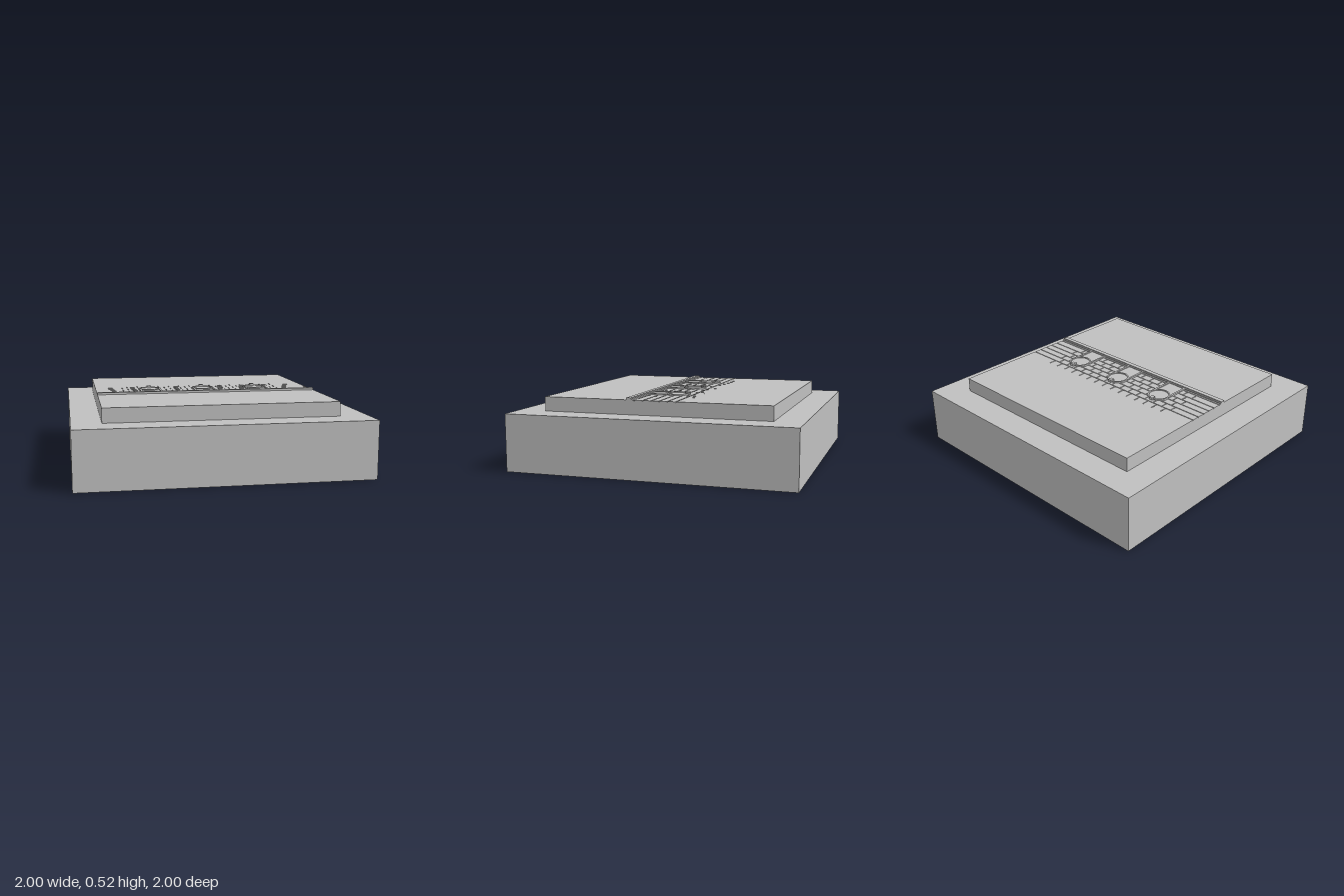
import * as THREE from 'three';

export function createModel() {
  const model = new THREE.Group();
  const stone = new THREE.MeshStandardMaterial({ color: 0xc0c0c0 });
  stone.name = 'grey stone';

  const add = (parent, name, geometry) => {
    const mesh = new THREE.Mesh(geometry, stone);
    mesh.name = name;
    parent.add(mesh);
    return mesh;
  };
  // Box given by its limits on each axis
  const block = (parent, name, x0, x1, y0, y1, z0, z1) => {
    const mesh = add(parent, name, new THREE.BoxGeometry(x1 - x0, y1 - y0, z1 - z0));
    mesh.position.set((x0 + x1) / 2, (y0 + y1) / 2, (z0 + z1) / 2);
    return mesh;
  };

  const TOP = 0.5, BED = 0.494, GAP = 0.003; // slab top, groove floor, half groove width

  // Stepped plinth
  block(model, 'base', -1, 1, 0, 0.4, -1, 1);
  block(model, 'slab', -0.8, 0.8, 0.4, BED, -0.8, 0.8);
  block(model, 'backField', -0.8, 0.8, BED, TOP, -0.8, -0.205);
  block(model, 'frontField', -0.8, 0.8, BED, TOP, 0.147, 0.8);

  // Brick courses, separated by sunken joints
  const bricks = new THREE.Group();
  bricks.name = 'brickwork';
  model.add(bricks);
  const joints = [-0.205, -0.147, -0.089, -0.031, 0.026, 0.084, 0.144];
  for (let row = 0; row < 6; row++) {
    const z0 = joints[row] + (row ? GAP : 0);
    const z1 = joints[row + 1] - GAP;
    const first = row % 2 ? -0.6 : -0.56;
    let left = -0.8;
    for (let i = 0; i < 15; i++) {
      const x = first + i * 0.08;
      block(bricks, 'brick', left, x - GAP, BED, TOP, z0, z1);
      left = x + GAP;
    }
    block(bricks, 'brick', left, 0.8, BED, TOP, z0, z1);
  }

  // Sill along the foot of the wall
  block(model, 'sillStep', -0.8, 0.8, TOP, 0.508, 0.16, 0.168);
  block(model, 'sill', -0.8, 0.8, TOP, 0.515, 0.168, 0.2);

  // Arched niches: panel, jambs, round head and keystone
  const ringShape = new THREE.Shape().absarc(0, 0, 0.08, 0, Math.PI * 2);
  ringShape.holes.push(new THREE.Path().absarc(0, 0, 0.069, 0, Math.PI * 2, true));
  const ringGeometry = new THREE.ExtrudeGeometry(ringShape, { depth: 0.016, bevelEnabled: false, curveSegments: 24 });
  ringGeometry.rotateX(-Math.PI / 2);
  for (const x of [-0.4, 0, 0.4]) {
    const arch = new THREE.Group();
    arch.name = 'archedNiche';
    arch.position.x = x;
    model.add(arch);
    block(arch, 'panel', -0.068, 0.068, BED, 0.502, -0.03, 0.16);
    const disc = add(arch, 'roundHead', new THREE.CylinderGeometry(0.072, 0.072, 0.01, 40));
    disc.position.set(0, 0.499, -0.035);
    add(arch, 'archRing', ringGeometry).position.set(0, BED, -0.035);
    for (const s of [-1, 1]) {
      const jamb = block(arch, 'jamb', -0.0075, 0.0075, BED, 0.509, -0.02, 0.16);
      jamb.position.x = s * 0.0725;
    }
    block(arch, 'keystone', -0.014, 0.014, TOP, 0.519, -0.125, -0.092);
  }
  return model;
}
